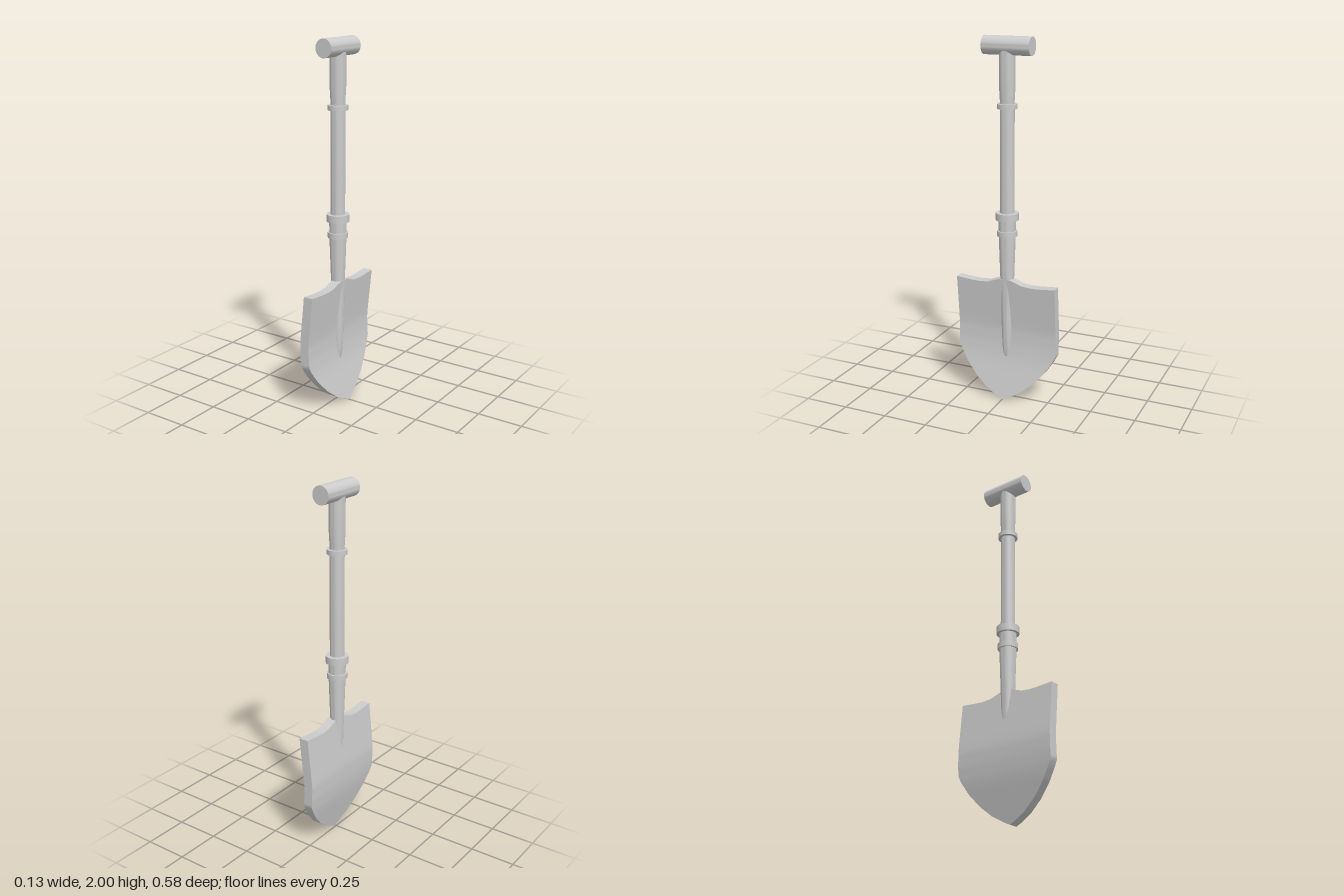
import * as THREE from 'three';
import { toCreasedNormals } from 'three/addons/utils/BufferGeometryUtils.js';

const AXIS_X = -0.006;
const material = new THREE.MeshStandardMaterial({ color: 0xcccccc });

// Piecewise-linear lookup in a list of [key, value] pairs with rising keys
function lookup(points, k) {
  for (let i = 1; i < points.length; i++) {
    const [k0, v0] = points[i - 1], [k1, v1] = points[i];
    if (k <= k1) return v0 + (v1 - v0) * (k - k0) / (k1 - k0);
  }
  return points[points.length - 1][1];
}

function addMesh(group, name, geometry) {
  const mesh = new THREE.Mesh(toCreasedNormals(geometry, 0.6), material);
  mesh.name = name;
  group.add(mesh);
  return mesh;
}

// Turned part on the shaft axis, profile given as [radius, y] from bottom to top
function turned(group, name, profile) {
  const points = profile.map(([r, y]) => new THREE.Vector2(r, y));
  addMesh(group, name, new THREE.LatheGeometry(points, 32)).position.x = AXIS_X;
}

const collar = (r, y0, y1) => [[0, y0], [r, y0], [r, y1], [0, y1]];

// Blade: a subdivided slab shaped to the outline and bent along its height
function bladeGeometry() {
  const top = [[0, 0.7], [0.03, 0.7], [0.06, 0.69], [0.1, 0.675], [0.15, 0.67], [0.2, 0.672], [0.29, 0.68]];
  const bottom = [[0, 0], [0.03, 0.013], [0.1, 0.052], [0.17, 0.11], [0.23, 0.178], [0.27, 0.24], [0.29, 0.28]];
  const bend = [[0, 0.037], [0.2, -0.007], [0.25, -0.016], [0.32, -0.023], [0.4, -0.025], [0.45, -0.021], [0.7, 0.005]];
  const geometry = new THREE.BoxGeometry(0.054, 1, 0.58, 1, 28, 58);
  const p = geometry.attributes.position;
  for (let i = 0; i < p.count; i++) {
    const z = Math.abs(p.getZ(i));
    const y = THREE.MathUtils.lerp(lookup(bottom, z), lookup(top, z), p.getY(i) + 0.5);
    p.setXY(i, p.getX(i) + lookup(bend, y), y);
  }
  return geometry;
}

export function createModel() {
  const group = new THREE.Group();
  group.name = 'shovel';

  addMesh(group, 'blade', bladeGeometry());

  // Socket running down into the blade as a tapering rib
  turned(group, 'socket', [[0, 0.215], [0.012, 0.22], [0.02, 0.245], [0.026, 0.3], [0.03, 0.4],
    [0.034, 0.55], [0.038, 0.7], [0.046, 0.94], [0.047, 1.04], [0, 1.04]]);
  turned(group, 'socketRing', collar(0.055, 0.94, 0.97));
  turned(group, 'lowerCollar', collar(0.062, 1.03, 1.07));

  // Shaft and upper sleeve
  turned(group, 'shaft', collar(0.039, 1.03, 1.66));
  turned(group, 'upperCollar', collar(0.054, 1.628, 1.654));
  turned(group, 'gripSleeve', [[0, 1.64], [0.037, 1.64], [0.043, 1.75], [0.043, 1.95], [0, 1.95]]);

  // Cross grip
  const grip = addMesh(group, 'crossGrip',
    new THREE.CylinderGeometry(0.049, 0.049, 0.268, 40).rotateX(Math.PI / 2));
  grip.position.set(AXIS_X, 1.951, -0.005);

  return group;
}
